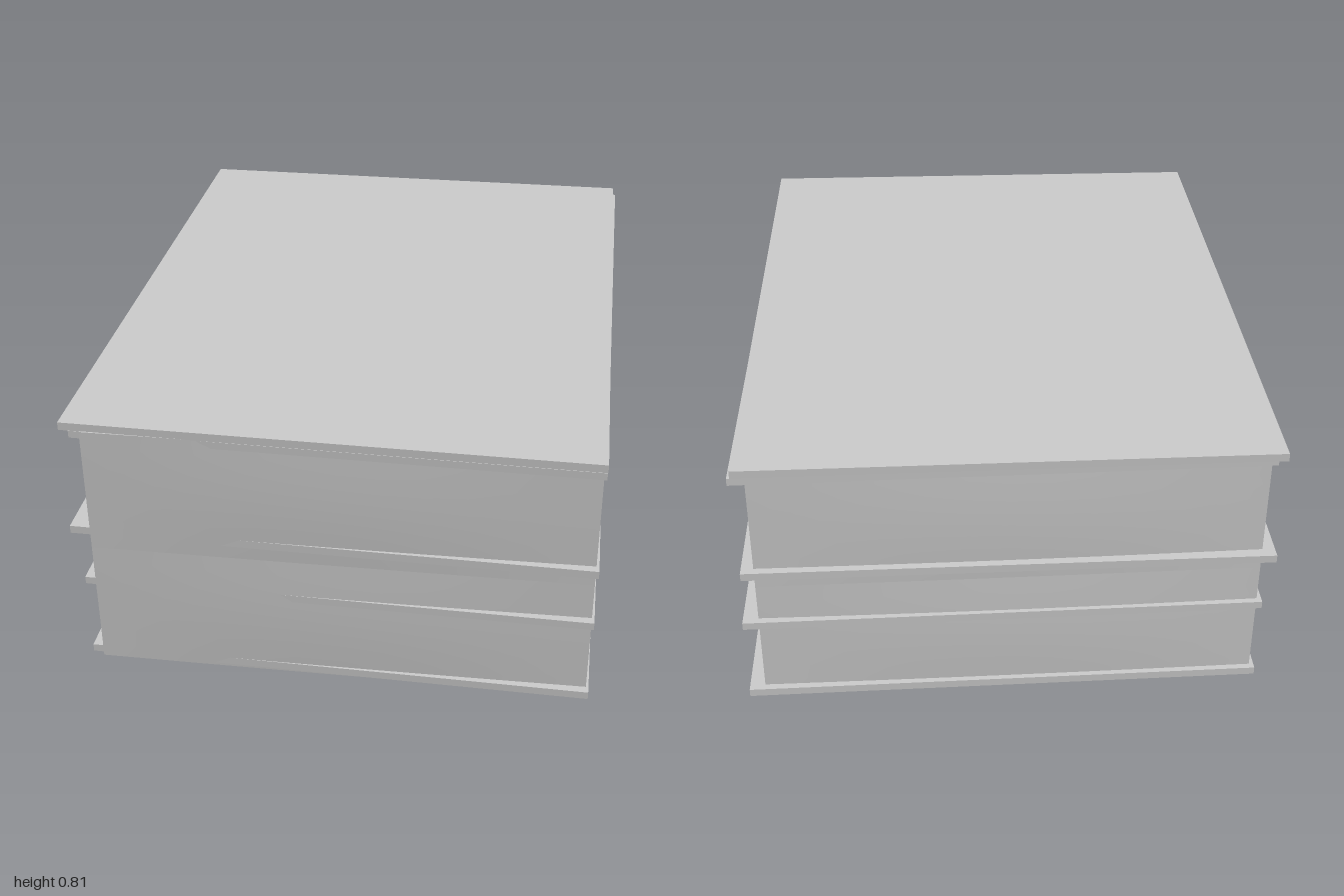
import * as THREE from 'three';

const material = new THREE.MeshStandardMaterial({ color: 0xcccccc, flatShading: true });
const smooth = new THREE.MeshStandardMaterial({ color: 0xcccccc });

// Thin, slightly skewed slab from its four plan corners [x, z]
function slab(name, corners, y0, y1) {
  const shape = new THREE.Shape(corners.map(([x, z]) => new THREE.Vector2(x, -z)));
  const geo = new THREE.ExtrudeGeometry(shape, { depth: y1 - y0, bevelEnabled: false });
  geo.rotateX(-Math.PI / 2).translate(0, y0, 0);
  const mesh = new THREE.Mesh(geo, material);
  mesh.name = name;
  return mesh;
}

// Block whose four sides swell gently outward at the middle
function swollenBlock(name, y0, y1) {
  const w = 1.452, h = y1 - y0, d = 1.94;
  const geo = new THREE.BoxGeometry(w, h, d, 12, 8, 12);
  const p = geo.attributes.position;
  const swell = (t) => Math.cos(Math.PI * t);
  for (let i = 0; i < p.count; i++) {
    const x = p.getX(i), y = p.getY(i), z = p.getZ(i);
    const v = 0.3 + 0.7 * swell(y / h);
    p.setX(i, x + (2 * x / w) * 0.012 * v * swell(z / d));
    p.setZ(i, z + (2 * z / d) * 0.008 * v * swell(x / w));
  }
  geo.computeVertexNormals();
  const mesh = new THREE.Mesh(geo, smooth);
  mesh.name = name;
  mesh.position.set(0.004, (y0 + y1) / 2, 0.003);
  return mesh;
}

export function createModel() {
  const group = new THREE.Group();
  group.name = 'stackedBlocks';

  // Two stacked bodies
  group.add(swollenBlock('lowerBody', 0, 0.4), swollenBlock('upperBody', 0.4, 0.79));

  // Overhanging boards, in two slightly different skews
  const planA = [[-0.755, 0.967], [0.737, 0.998], [0.775, -0.988], [-0.735, -0.985]];
  const planB = [[-0.783, 0.967], [0.738, 0.998], [0.766, -0.99], [-0.758, -1]];
  group.add(
    slab('bottomBoard', planA, 0.008, 0.032),
    slab('lowerBoard', planA, 0.262, 0.285),
    slab('middleBoard', planB, 0.441, 0.465),
    slab('upperBoard', planA, 0.766, 0.788),
    slab('topBoard', planB, 0.789, 0.813)
  );
  return group;
}
